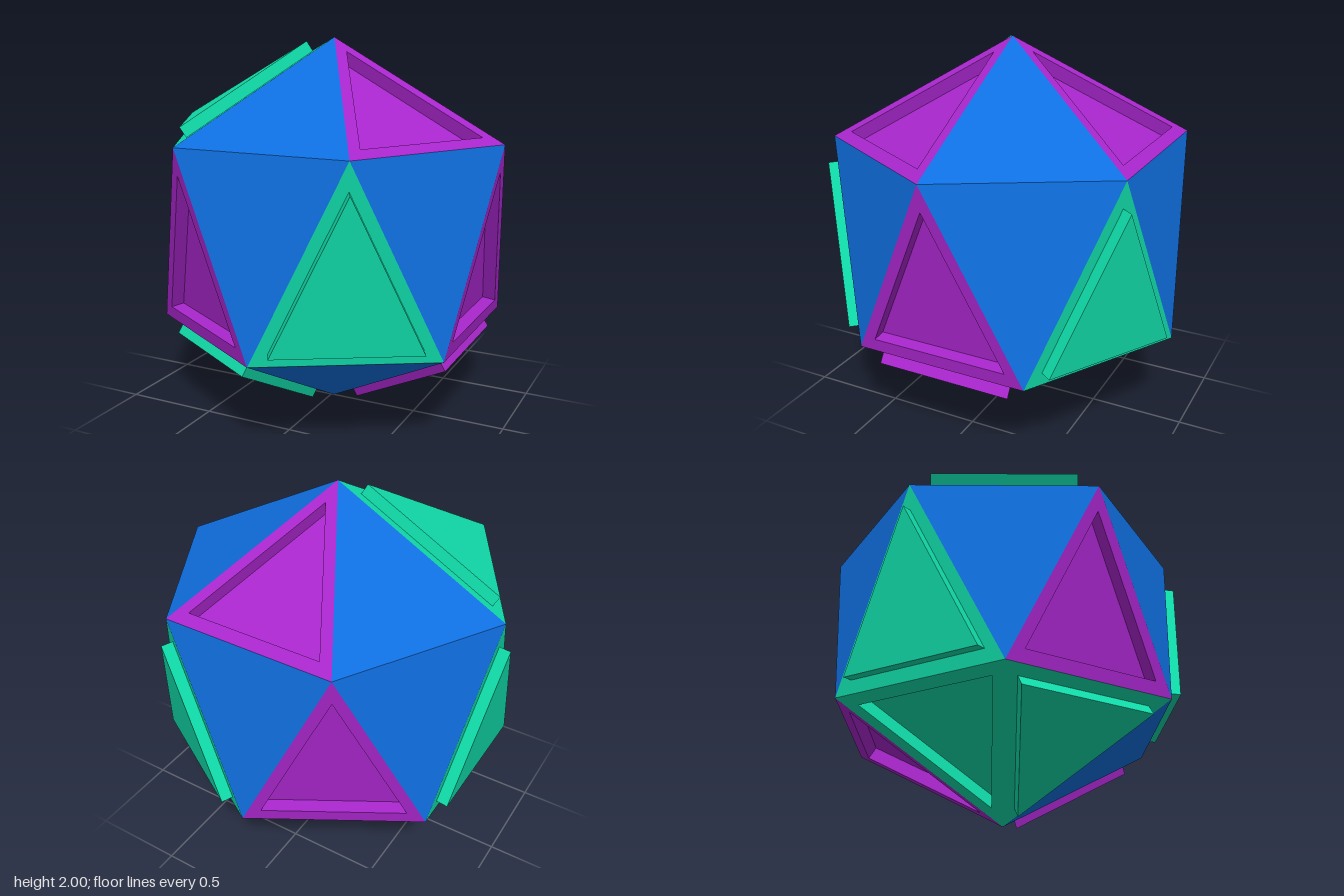
import * as THREE from 'three';

const CENTRE = new THREE.Vector3(0.017, 1, 0);
const RADIUS = 0.927, UPPER = 1.493, LOWER = 0.507;
const INSET = 0.79, RAISED = 0.06, SUNK = -0.07;

// Point on a horizontal ring; 90 degrees is the front
function ring(deg, y) {
  const a = THREE.MathUtils.degToRad(deg);
  return new THREE.Vector3(CENTRE.x + RADIUS * Math.cos(a), y, RADIUS * Math.sin(a));
}

// One triangular face; a non-zero depth adds a straight-walled inner plate or recess
function facet(corners, depth) {
  const mid = new THREE.Vector3();
  corners.forEach((c) => mid.addScaledVector(c, 1 / 3));
  let [a, b, c] = corners;
  const normal = b.clone().sub(a).cross(c.clone().sub(a)).normalize();
  if (normal.dot(mid.clone().sub(CENTRE)) < 0) {
    [b, c] = [c, b];
    normal.negate();
  }
  const outer = [a, b, c];
  const points = [];
  const quad = (p, q, r, s) => points.push(p, q, r, p, r, s);
  if (depth === 0) {
    points.push(...outer);
  } else {
    const inner = outer.map((p) => mid.clone().lerp(p, INSET));
    const cap = inner.map((p) => p.clone().addScaledVector(normal, depth));
    for (let i = 0; i < 3; i++) {
      const j = (i + 1) % 3;
      quad(outer[i], outer[j], inner[j], inner[i]); // border
      quad(inner[i], inner[j], cap[j], cap[i]);     // wall
    }
    points.push(...cap);
  }
  const geometry = new THREE.BufferGeometry().setFromPoints(points);
  geometry.computeVertexNormals();
  return geometry;
}

export function createModel() {
  const material = (name, color) => {
    const m = new THREE.MeshStandardMaterial({ color });
    m.name = name;
    return m;
  };
  const blue = material('blue', 0x0f6fe0);
  const purple = material('purple', 0xa826cc);
  const green = material('green', 0x10dcaa);

  // Face styles: colour and depth of the inner triangle
  const styles = {
    plain: [blue, 0],
    purpleRecess: [purple, SUNK],
    purplePlate: [purple, RAISED],
    greenRecess: [green, SUNK],
    greenPlate: [green, RAISED],
  };

  const model = new THREE.Group();
  model.name = 'facetedSolid';
  const top = new THREE.Vector3(CENTRE.x, 2, 0);
  const bottom = new THREE.Vector3(CENTRE.x, 0, 0);

  // Styles run around the solid in 60 degree steps
  const topStyles = ['purpleRecess', 'plain', 'greenPlate', 'plain', 'purpleRecess', 'plain'];
  const sideStyles = ['purpleRecess', 'greenPlate', 'purpleRecess', 'greenPlate', 'purpleRecess', 'greenPlate'];
  const bottomStyles = ['purplePlate', 'plain', 'greenPlate', 'greenRecess', 'purpleRecess', 'plain'];

  const add = (part, style, corners) => {
    const [mat, depth] = styles[style];
    const mesh = new THREE.Mesh(facet(corners, depth), mat);
    mesh.name = part;
    model.add(mesh);
  };

  for (let i = 0; i < 6; i++) {
    const a = i * 60;
    add(`topFace${i + 1}`, topStyles[i], [top, ring(a, UPPER), ring(a + 60, UPPER)]);
    add(`uprightSideFace${i + 1}`, sideStyles[i], [ring(a, UPPER), ring(a - 30, LOWER), ring(a + 30, LOWER)]);
    add(`invertedSideFace${i + 1}`, 'plain', [ring(a + 30, LOWER), ring(a, UPPER), ring(a + 60, UPPER)]);
    add(`bottomFace${i + 1}`, bottomStyles[i], [bottom, ring(a - 30, LOWER), ring(a + 30, LOWER)]);
  }
  return model;
}
